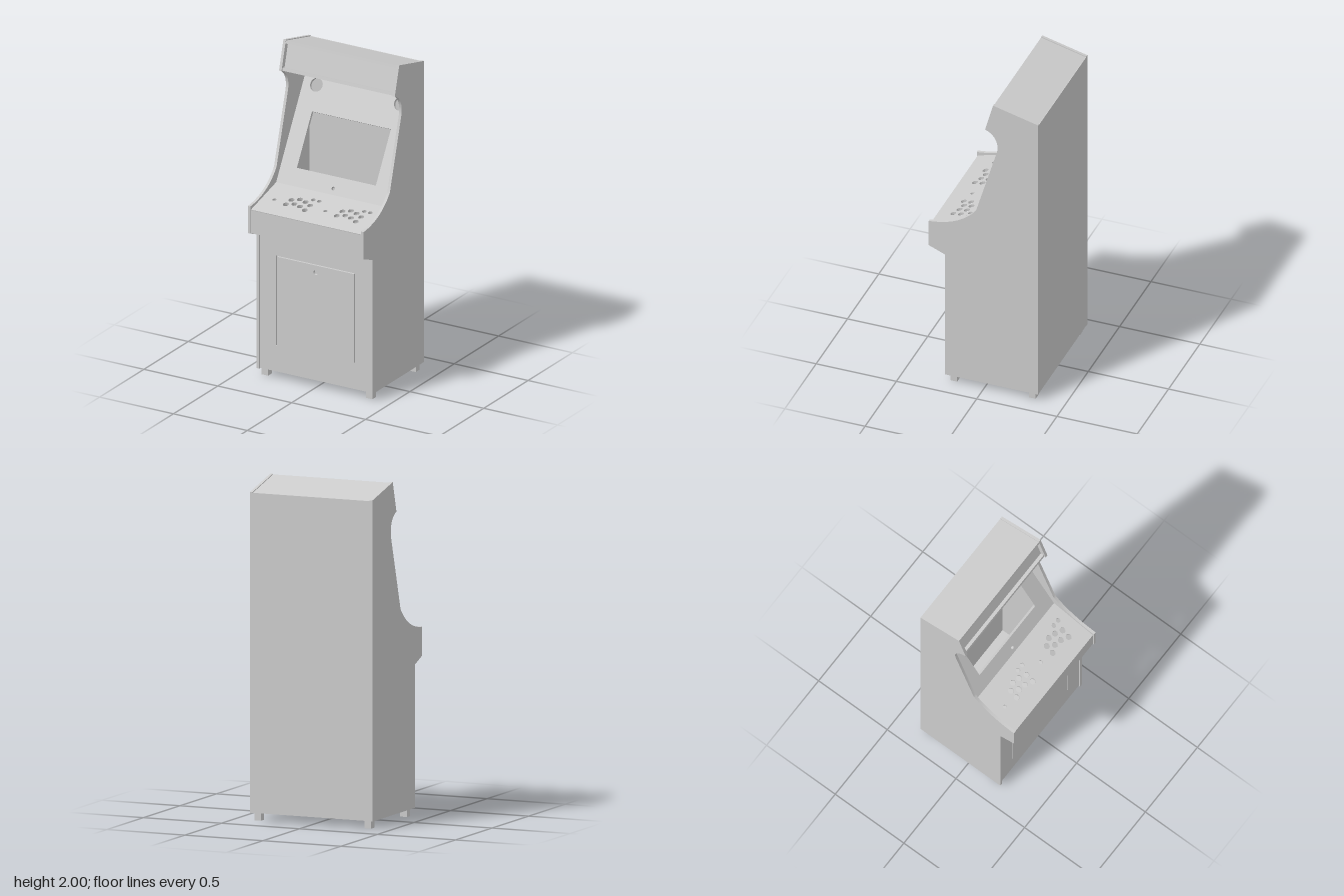
import * as THREE from 'three';
import { toCreasedNormals } from 'three/addons/utils/BufferGeometryUtils.js';

const material = new THREE.MeshStandardMaterial({ color: 0xcccccc });
const HALF = 0.375; // inner half width between the side boards
const BOARD = 0.017; // board thickness

function extrude(shape, depth) {
  const geo = new THREE.ExtrudeGeometry(shape, { depth, bevelEnabled: false, curveSegments: 20 });
  return toCreasedNormals(geo, 0.5);
}

function circle(x, v, r) {
  return new THREE.Path().absarc(x, v, r, 0, Math.PI * 2, true);
}

function polygon(points) {
  return new THREE.Path(points.map(([x, y]) => new THREE.Vector2(x, y)));
}

// Board spanning the cabinet between two (z, y) points, outer face on that line.
// makeHoles receives functions turning a world y or z into distance along the board.
function panel(name, a, b, makeHoles) {
  const along = new THREE.Vector3(0, b[1] - a[1], b[0] - a[0]);
  const length = along.length();
  along.normalize();
  const right = new THREE.Vector3(1, 0, 0);
  const normal = new THREE.Vector3().crossVectors(right, along);
  const shape = new THREE.Shape([
    new THREE.Vector2(-HALF, 0), new THREE.Vector2(HALF, 0),
    new THREE.Vector2(HALF, length), new THREE.Vector2(-HALF, length),
  ]);
  if (makeHoles) {
    shape.holes = makeHoles((y) => (y - a[1]) / along.y, (z) => (z - a[0]) / along.z);
  }
  const geo = extrude(shape, BOARD);
  geo.translate(0, 0, -BOARD);
  geo.applyMatrix4(new THREE.Matrix4().makeBasis(right, along, normal).setPosition(0, a[1], a[0]));
  const mesh = new THREE.Mesh(geo, material);
  mesh.name = name;
  return mesh;
}

// Side board profile, drawn as (z, y)
function sideShape() {
  const s = new THREE.Shape();
  s.moveTo(-0.341, 0.045);
  s.lineTo(0.241, 0.045);
  s.lineTo(0.241, 0.885);
  s.lineTo(0.341, 0.925);
  s.lineTo(0.341, 1.095);
  s.quadraticCurveTo(0.145, 1.11, 0.046, 1.24);
  s.lineTo(-0.083, 1.675);
  s.bezierCurveTo(-0.1, 1.74, -0.07, 1.8, -0.01, 1.82);
  s.lineTo(-0.06, 2);
  s.lineTo(-0.341, 1.93);
  s.closePath();
  return s;
}

export function createModel() {
  const cabinet = new THREE.Group();
  cabinet.name = 'arcadeCabinet';

  // Side boards
  for (const [name, x] of [['leftSide', HALF + BOARD], ['rightSide', -HALF]]) {
    const geo = extrude(sideShape(), BOARD);
    geo.rotateY(-Math.PI / 2);
    geo.translate(x, 0, 0);
    const side = new THREE.Mesh(geo, material);
    side.name = name;
    cabinet.add(side);
  }

  // Plain boards; the space under the apron stays open
  cabinet.add(
    panel('apron', [0.333, 0.925], [0.333, 1.071]),
    panel('marqueePanel', [-0.045, 1.832], [-0.086, 1.982]),
    panel('topPanel', [-0.06, 1.995], [-0.34, 1.925]),
    panel('backPanel', [-0.341, 1.926], [-0.341, 0.047]),
    panel('floorPanel', [-0.33, 0.05], [0.229, 0.05]),
    panel('marqueeUnderside', [-0.3, 1.749], [-0.02, 1.82]),
  );

  // Front panel with a U-shaped door gap and a lock hole
  cabinet.add(panel('frontPanel', [0.231, 0.047], [0.231, 0.883], (atY) => {
    const [low, high, w, gap] = [atY(0.21), atY(0.772), 0.267, 0.006];
    return [
      polygon([[-w, low], [-w, high], [w, high], [w, low], [w - gap, low],
        [w - gap, high - gap], [-w + gap, high - gap], [-w + gap, low]]),
      circle(0, atY(0.72), 0.014),
    ];
  }));

  // Control panel: two mirrored-in-layout player sets of [x, z, radius]
  const playerHoles = [
    [-0.207, 0.221, 0.0175], [-0.198, 0.172, 0.0175], [-0.161, 0.202, 0.0175],
    [-0.153, 0.152, 0.0175], [-0.116, 0.212, 0.0175], [-0.108, 0.163, 0.0175],
    [-0.071, 0.234, 0.0175], [-0.064, 0.184, 0.0175],
    [-0.075, 0.13, 0.0135], [-0.035, 0.13, 0.0135], [-0.295, 0.202, 0.0115],
  ];
  cabinet.add(panel('controlPanel', [0.334, 1.073], [0.05, 1.146], (atY, atZ) =>
    [0, 0.345].flatMap((dx) => playerHoles.map(([x, z, r]) => circle(x + dx, atZ(z), r)))));

  // Leaning bezel with screen opening, speaker holes and a small centre hole
  cabinet.add(panel('screenBezel', [0.05, 1.146], [-0.3, 1.752], (atY) => [
    polygon([[-0.267, atY(1.24)], [-0.267, atY(1.534)], [0.267, atY(1.534)], [0.267, atY(1.24)]]),
    circle(-0.284, atY(1.67), 0.041),
    circle(0.284, atY(1.67), 0.041),
    circle(0, atY(1.178), 0.011),
  ]));

  // Feet
  for (const x of [-0.353, 0.353]) {
    for (const z of [0.192, -0.297]) {
      const foot = new THREE.Mesh(new THREE.BoxGeometry(0.043, 0.052, 0.043), material);
      foot.name = 'foot';
      foot.position.set(x, 0.026, z);
      cabinet.add(foot);
    }
  }

  return cabinet;
}
